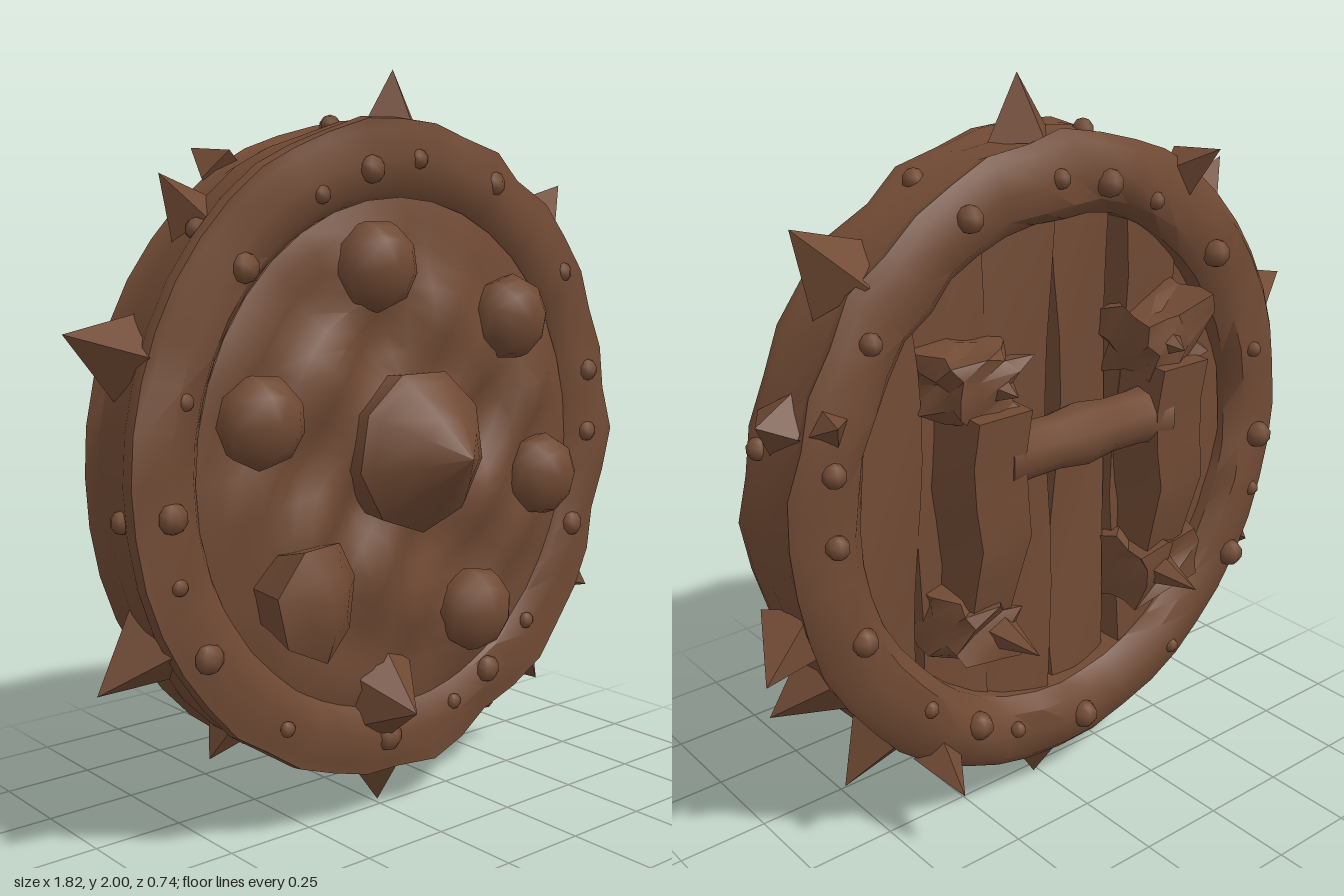
import * as THREE from 'three';
import { mergeVertices, toCreasedNormals } from 'three/addons/utils/BufferGeometryUtils.js';

const CY = 1.0; // height of the shield centre
const STRETCH = 1.06; // the shield is a little taller than wide

export function createModel() {
  const model = new THREE.Group();
  const brown = new THREE.MeshStandardMaterial({ color: 0x704a34 });

  // Smooth hammered bumps
  const bump = (x, y, z) =>
    Math.sin(x * 13 + y * 5 + 1) * Math.cos(y * 11 - x * 4) + 0.6 * Math.sin(x * 23 - y * 19 + z * 17);

  // Moves the vertices by a rule, then smooths all but the sharp edges
  function shape(geometry, rule, crease = 0.7) {
    geometry.deleteAttribute('uv');
    geometry.deleteAttribute('normal');
    const g = mergeVertices(geometry, 1e-4);
    const p = g.attributes.position;
    const v = new THREE.Vector3();
    for (let i = 0; rule && i < p.count; i++) {
      rule(v.fromBufferAttribute(p, i));
      p.setXYZ(i, v.x, v.y, v.z);
    }
    return toCreasedNormals(g, crease);
  }
  function add(name, geometry, parent = model) {
    const mesh = new THREE.Mesh(geometry, brown);
    mesh.name = name;
    parent.add(mesh);
    return mesh;
  }
  function group(name) {
    const g = new THREE.Group();
    g.name = name;
    model.add(g);
    return g;
  }
  // Lathe turned so that its axis points to the front
  function turned(profile, segments) {
    const pts = profile.map(([r, z]) => new THREE.Vector2(r, z));
    return new THREE.LatheGeometry(pts, segments).rotateX(Math.PI / 2);
  }
  // Spike from a base point to a tip
  function spike(name, base, tip, radius, parent, sides = 4) {
    const a = new THREE.Vector3(...base);
    const b = new THREE.Vector3(...tip);
    const dir = b.clone().sub(a);
    const geo = new THREE.ConeGeometry(radius, dir.length(), sides);
    const mesh = add(name, shape(geo, null, 0.5), parent);
    mesh.quaternion.setFromUnitVectors(new THREE.Vector3(0, 1, 0), dir.normalize());
    mesh.position.copy(a).add(b).multiplyScalar(0.5);
    return mesh;
  }

  // Heavy oval rim
  const rimProfile = [[0.79, -0.155], [0.815, -0.13], [0.8, -0.09], [0.815, -0.03], [0.81, 0.03],
    [0.82, 0.055], [0.815, 0.085], [0.79, 0.088], [0.72, 0.105], [0.65, 0.088], [0.625, 0.06],
    [0.625, -0.12], [0.66, -0.16], [0.72, -0.172], [0.79, -0.155]];
  add('rim', shape(turned(rimProfile, 44), (v) => {
    const n = bump(v.x, v.y, v.z);
    v.x *= 1 + 0.008 * n;
    v.y = CY + v.y * STRETCH * (1 + 0.008 * n);
    v.z += 0.01 * n;
  }));

  // Dented front board
  const board = [];
  for (let i = 0; i <= 12; i++) {
    const t = i / 12;
    board.push([0.64 * (1 - t), 0.08 + 0.065 * Math.sqrt(t)]);
  }
  add('frontBoard', shape(turned(board, 36), (v) => {
    const edge = Math.max(0, 1 - Math.hypot(v.x, v.y) / 0.64);
    v.z += 0.03 * bump(v.x, v.y, 0) * Math.min(1, edge * 4);
    v.y = CY - 0.01 + v.y * STRETCH;
  }, 1.0));

  // Vertical planks on the back
  const planks = group('backPlanks');
  [-0.53, -0.32, -0.1, 0.12, 0.33, 0.54].forEach((x, i) => {
    const half = STRETCH * Math.sqrt(0.65 ** 2 - (Math.abs(x) - 0.05) ** 2);
    const mesh = add('plank', shape(new THREE.BoxGeometry(0.195, half * 2, 0.13, 2, 8, 1), (v) => {
      v.x += 0.012 * Math.sin(v.y * 6 + i * 2);
      if (v.z < 0) v.z += 0.015 * Math.sin(v.y * 5 + v.x * 14 + i);
    }), planks);
    mesh.position.set(x, CY, -0.01 - (i % 2) * 0.025);
    mesh.rotation.y = (i % 3 - 1) * 0.1;
  });

  // Pointed centre boss
  const boss = add('centreBoss', shape(
    turned([[0.2, 0.05], [0.215, 0.18], [0.19, 0.205], [0.1, 0.285], [0, 0.365]], 9), null, 0.8));
  boss.position.set(-0.005, 1.02, 0);

  // Round studs on the board
  const studs = group('boardStuds');
  [[-0.12, 1.495], [0.36, 1.35], [-0.48, 1.13], [0.49, 0.9], [0.235, 0.55]].forEach(([x, y], i) => {
    const profile = [[0.1, 0.06], [0.118, 0.13], [0.105, 0.165], [0.07, 0.195], [0, 0.21]];
    const stud = add('stud', shape(turned(profile, 9), null, 0.9), studs);
    stud.position.set(x, y, 0);
    stud.rotation.z = i;
  });

  // Flared stump, broken off at a slant
  const stump = add('brokenStump', shape(
    turned([[0.1, 0.05], [0.12, 0.15], [0.15, 0.255], [0.08, 0.285], [0, 0.295]], 7), (v) => {
      if (v.z > 0.14) v.z -= Math.max(0, v.x) * 0.5;
    }));
  stump.position.set(-0.385, 0.695, 0);

  // Wedge spike at the foot of the board
  const wedge = spike('lowerSpike', [-0.065, 0.36, 0.05], [-0.07, 0.34, 0.23], 0.14, model, 6);
  wedge.scale.set(0.95, 1, 1.25);

  // Spikes around the rim: base x, y, then tip x, y, z, then radius
  const rimSpikes = group('rimSpikes');
  [[0.06, 1.84, 0.06, 2.0, -0.02, 0.1], [-0.53, 1.57, -0.66, 1.715, -0.02, 0.105],
    [-0.75, 1.29, -0.91, 1.35, -0.04, 0.11], [-0.7, 0.59, -0.855, 0.49, -0.03, 0.115],
    [-0.46, 0.36, -0.53, 0.25, -0.05, 0.08], [0.01, 0.15, 0.015, 0.005, -0.03, 0.1],
    [0.52, 0.38, 0.645, 0.23, -0.02, 0.11], [0.69, 0.58, 0.83, 0.5, 0.01, 0.1],
    [0.76, 0.74, 0.905, 0.68, -0.13, 0.1], [0.76, 1.27, 0.84, 1.29, -0.05, 0.085],
    [0.58, 1.58, 0.705, 1.715, -0.02, 0.115],
  ].forEach(([bx, by, tx, ty, tz, r]) => spike('rimSpike', [bx, by, -0.03], [tx, ty, tz], r, rimSpikes));

  // Short spikes standing on the back of the rim
  [[-0.41, 1.72, -0.43, 1.79, -0.235], [0.7, 1.28, 0.74, 1.32, -0.24], [0.42, 0.3, 0.43, 0.23, -0.255]]
    .forEach(([bx, by, tx, ty, tz]) => spike('backRimSpike', [bx, by, -0.12], [tx, ty, tz], 0.07, rimSpikes));

  // Small rivets on both faces and the outer edge of the rim
  const rivets = group('rimRivets');
  const rivetGeo = shape(new THREE.SphereGeometry(0.036, 7, 5), null, 1.2);
  for (let i = 0; i < 18; i++) {
    const a = (i / 18) * Math.PI * 2 + 0.12 * Math.sin(i * 5);
    const r = 0.715 + 0.03 * Math.sin(i * 7);
    const s = 0.85 + 0.25 * Math.sin(i * 3);
    [0.1, -0.17].forEach((z) => {
      const m = add('rivet', rivetGeo, rivets);
      m.position.set(Math.cos(a) * r, CY + Math.sin(a) * r * STRETCH, z);
      m.scale.set(s, s, s * (z > 0 ? 0.8 : 1));
    });
    if (i % 2) {
      const m = add('edgeRivet', rivetGeo, rivets);
      m.position.set(Math.cos(a) * 0.81, CY + Math.sin(a) * 0.81 * STRETCH, 0.05 * Math.sin(i));
      m.scale.setScalar(0.8);
    }
  }

  // Carrying frame: two straps, four knotted brackets and a grip
  const frame = group('handle');
  for (const side of [-1, 1]) {
    const strap = add('strap', shape(new THREE.BoxGeometry(0.16, 0.56, 0.19, 2, 5, 2), (v) => {
      const taper = 1 - 0.25 * Math.max(0, -v.y / 0.28);
      v.x = v.x * taper + 0.01 * Math.sin(v.y * 15 + v.z * 9);
      if (v.z < 0) v.z += 0.04 * Math.max(0, -v.y / 0.28) + 0.008 * Math.sin(v.y * 18);
    }), frame);
    strap.position.set(0.3 * side, 0.97, -0.17);

    [[1.31, -0.29], [0.65, -0.37]].forEach(([y, tip], k) => {
      const bracket = add('bracket', shape(new THREE.BoxGeometry(0.22, 0.17, 0.18, 3, 3, 3), (v) => {
        const n = 0.02 * bump(v.x * 2 + side, v.y * 2 + k, v.z * 2);
        const back = v.z < 0 ? 0.85 : 1;
        v.set(v.x * back + n, v.y * back - n, v.z + n);
      }), frame);
      bracket.position.set(0.31 * side, y, -0.145);
      bracket.rotation.z = side * 0.15;
      spike('bracketSpike', [0.28 * side, y, -0.2], [0.275 * side, y - 0.01, tip], 0.055, frame, 5);
    });
  }
  const grip = add('grip', shape(new THREE.CylinderGeometry(0.075, 0.075, 0.54, 9, 6), (v) => {
    const swell = 1 + 0.1 * Math.cos(v.y * 24);
    v.x *= swell;
    v.z *= swell;
  }, 0.9), frame);
  grip.rotation.z = Math.PI / 2;
  grip.position.set(0, 1.11, -0.19);

  return model;
}
